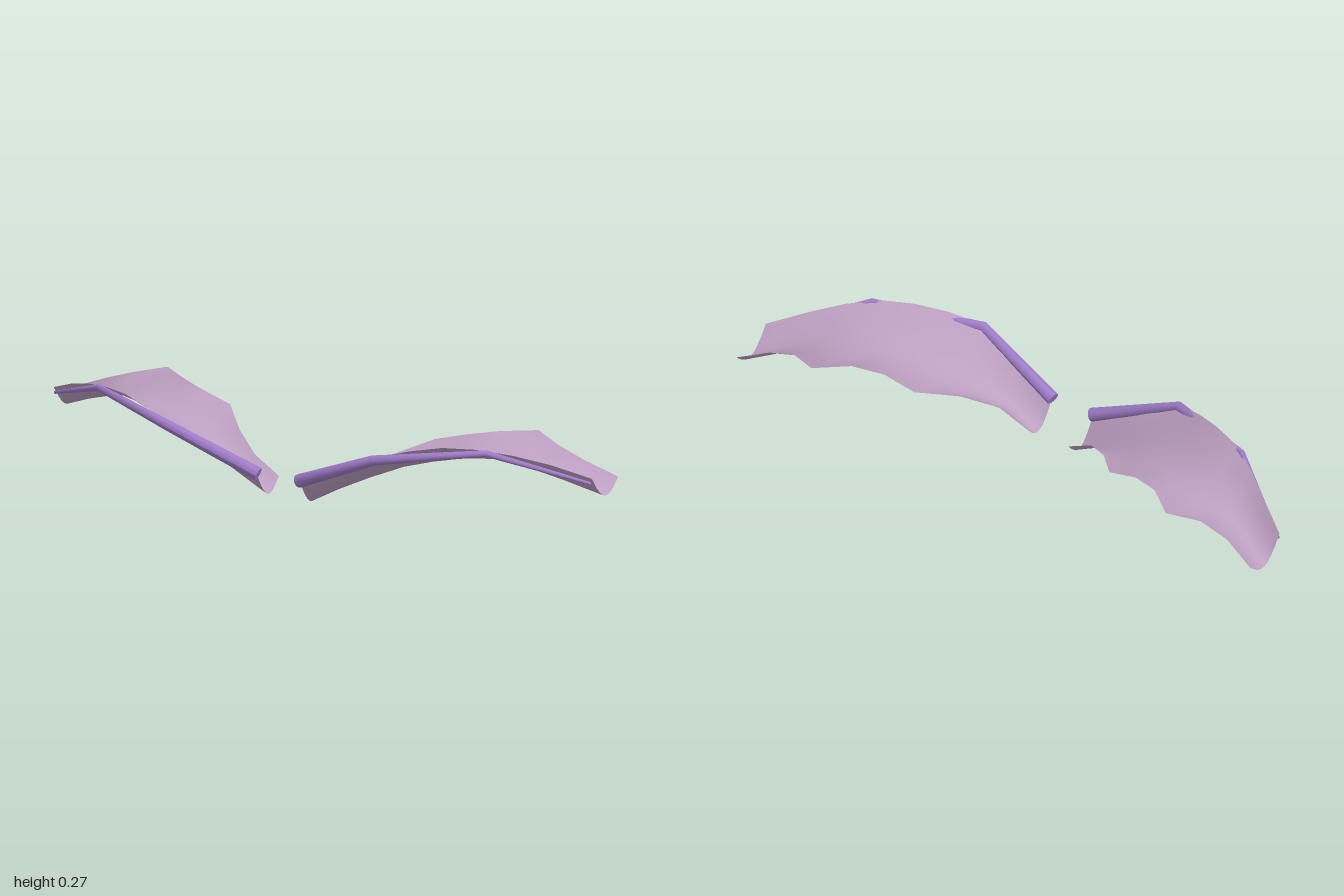
import * as THREE from 'three';

const membraneMat = new THREE.MeshStandardMaterial({ color: 0xbea0c2, side: THREE.DoubleSide });
membraneMat.name = 'mauveMembrane';
const boneMat = new THREE.MeshStandardMaterial({ color: 0xa07cc8 });
boneMat.name = 'violetBone';

// span stations of one wing: x, leading edge y and z, trailing edge z
const STATIONS = [
  [0.08, 0.08, 0.195, 0.06], [0.18, 0.135, 0.213, 0.045], [0.28, 0.182, 0.232, -0.03],
  [0.38, 0.222, 0.25, -0.14], [0.49, 0.252, 0.208, -0.15], [0.59, 0.268, 0.165, -0.19],
  [0.69, 0.266, 0.122, -0.27], [0.79, 0.246, 0.062, -0.22], [0.89, 0.212, -0.008, -0.215],
  [1.0, 0.165, -0.08, -0.245],
];

// arm joints from shoulder to tip: x, y, z, radius
const JOINTS = [
  [0.075, 0.087, 0.197, 0.022], [0.38, 0.215, 0.247, 0.017],
  [0.72, 0.255, 0.11, 0.011], [0.995, 0.148, -0.08, 0.005],
];

// sagging skin: each station is a hanging arc from leading to trailing edge
function membrane(side) {
  const rows = 10, pos = [], index = [];
  for (const [x, y, zLead, zTrail] of STATIONS) {
    for (let j = 0; j <= rows; j++) {
      const v = j / rows;
      const sag = 0.035 * v + 0.06 * Math.sin(Math.PI * v);
      pos.push(side * x, y - sag, zLead + (zTrail - zLead) * v);
    }
  }
  for (let i = 0; i < STATIONS.length - 1; i++) {
    for (let j = 0; j < rows; j++) {
      const a = i * (rows + 1) + j, b = a + rows + 1;
      if (side > 0) index.push(a, b, a + 1, b, b + 1, a + 1);
      else index.push(a, a + 1, b, b, a + 1, b + 1);
    }
  }
  const geo = new THREE.BufferGeometry();
  geo.setAttribute('position', new THREE.Float32BufferAttribute(pos, 3));
  geo.setIndex(index);
  geo.computeVertexNormals();
  return new THREE.Mesh(geo, membraneMat);
}

// tapered bent arm: a capped cylinder whose rings are moved to the joints
function armBone(side) {
  const pts = JOINTS.map(([x, y, z]) => new THREE.Vector3(side * x, y, z));
  const frames = pts.map((p, i) => {
    const dir = new THREE.Vector3();
    if (i > 0) dir.add(p.clone().sub(pts[i - 1]).normalize());
    if (i < pts.length - 1) dir.add(pts[i + 1].clone().sub(p).normalize());
    dir.normalize();
    const across = new THREE.Vector3(0, 1, 0).cross(dir).normalize();
    return { across, up: dir.clone().cross(across) };
  });
  const geo = new THREE.CylinderGeometry(1, 1, 1, 12, pts.length - 1);
  const attr = geo.attributes.position;
  const v = new THREE.Vector3();
  for (let i = 0; i < attr.count; i++) {
    v.fromBufferAttribute(attr, i);
    const k = Math.round((v.y + 0.5) * (pts.length - 1));
    const r = JOINTS[k][3], { across, up } = frames[k];
    const p = pts[k].clone().addScaledVector(up, v.x * r).addScaledVector(across, v.z * r);
    attr.setXYZ(i, p.x, p.y, p.z);
  }
  geo.computeVertexNormals();
  return new THREE.Mesh(geo, boneMat);
}

export function createModel() {
  const model = new THREE.Group();
  model.name = 'wingPair';
  for (const [side, label] of [[1, 'left'], [-1, 'right']]) {
    const wing = new THREE.Group();
    wing.name = label + 'Wing';
    const skin = membrane(side);
    skin.name = label + 'Membrane';
    const bone = armBone(side);
    bone.name = label + 'ArmBone';
    wing.add(skin, bone);
    model.add(wing);
  }
  return model;
}
